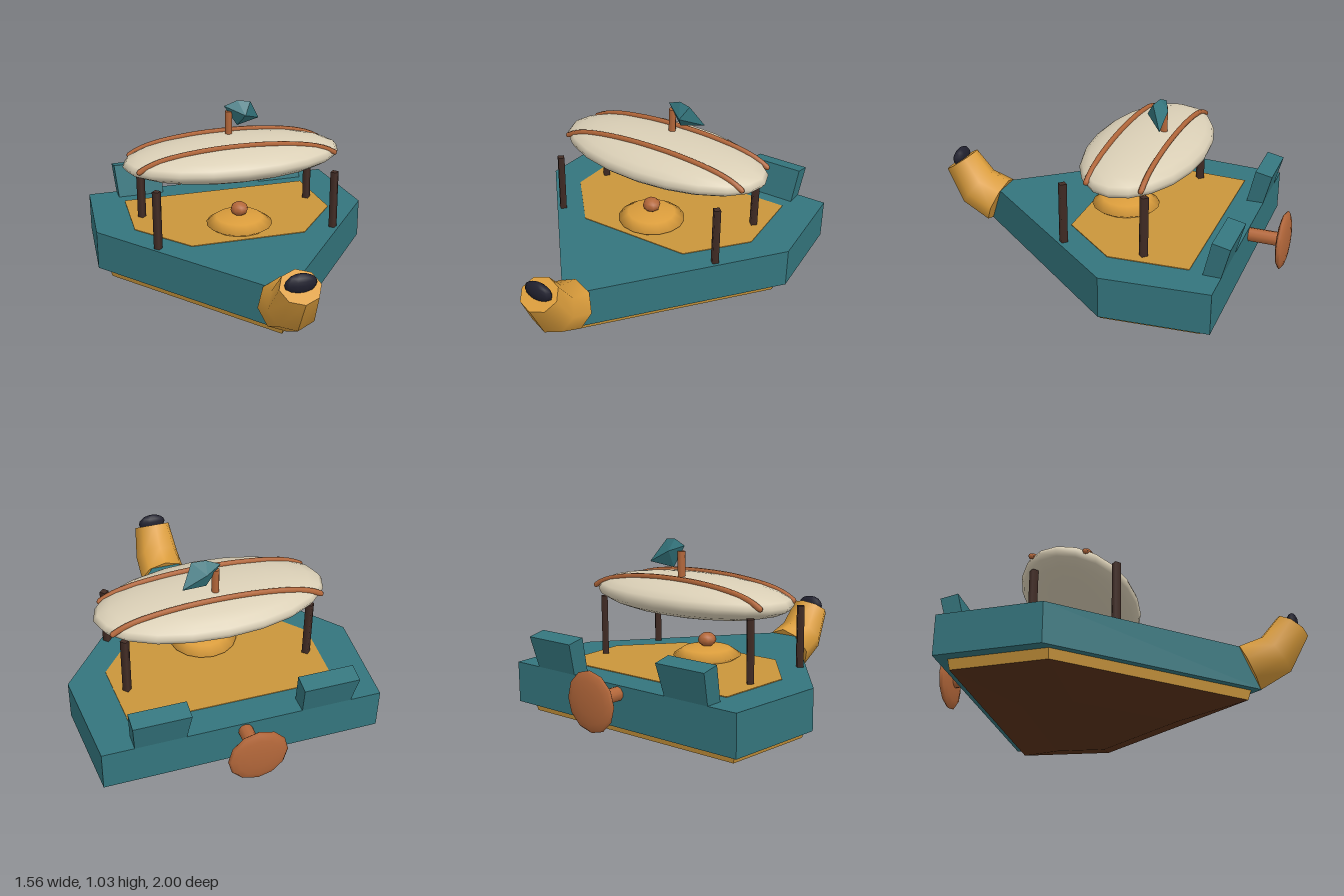
import * as THREE from 'three';
import { ConvexGeometry } from 'three/addons/geometries/ConvexGeometry.js';

const paint = (name, color) => {
  const m = new THREE.MeshStandardMaterial({ color });
  m.name = name;
  return m;
};

export function createModel() {
  const teal = paint('teal', 0x34757d);
  const ochre = paint('ochre', 0xc9953b);
  const gold = paint('gold', 0xdb9d3c);
  const copper = paint('copper', 0xb3673a);
  const brown = paint('hull brown', 0x5a321b);
  const darkWood = paint('dark wood', 0x432d26);
  const cream = paint('cream', 0xdacfb6);
  const ink = paint('ink', 0x20202e);

  const model = new THREE.Group();
  model.name = 'airship';
  const add = (name, geometry, material, x = 0, y = 0, z = 0) => {
    const mesh = new THREE.Mesh(geometry, material);
    mesh.name = name;
    mesh.position.set(x, y, z);
    model.add(mesh);
    return mesh;
  };
  const ellipsoid = (rx, ry, rz, w, h) => new THREE.SphereGeometry(1, w, h).scale(rx, ry, rz);

  // Slab with an [x, z] outline; each end is given as [y, scale, z shift]
  const slab = (outline, bottom, top) => {
    const shape = new THREE.Shape(outline.map(([x, z]) => new THREE.Vector2(x, -z)));
    const g = new THREE.ExtrudeGeometry(shape, { depth: 1, bevelEnabled: false });
    g.rotateX(-Math.PI / 2);
    const p = g.attributes.position;
    for (let i = 0; i < p.count; i++) {
      const [y, s, shift] = p.getY(i) > 0.5 ? top : bottom;
      p.setXYZ(i, p.getX(i) * s, y, p.getZ(i) * s + shift);
    }
    g.computeVertexNormals();
    return g;
  };

  // Hull, trim, keel and deck
  const outline = [[-0.735, -0.785], [-0.78, -0.23], [0, 0.74], [0.78, -0.23], [0.735, -0.785]];
  add('hull', slab(outline, [0.145, 1, 0], [0.363, 1, 0]), teal);
  add('hullTrim', slab(outline, [0.092, 0.908, -0.005], [0.145, 0.925, 0]), ochre);
  add('keel', slab(outline, [0, 0.48, -0.06], [0.092, 0.908, -0.005]), brown);
  const deckOutline = [[-0.55, -0.62], [-0.572, -0.2], [-0.32, 0.1], [0.32, 0.1], [0.572, -0.2], [0.55, -0.62]];
  add('deck', slab(deckOutline, [0.36, 1, 0], [0.367, 1, 0]), ochre);

  // Domed hatch with its knob
  add('hatch', ellipsoid(0.185, 0.052, 0.185, 16, 4), gold, 0, 0.386, -0.09);
  add('hatchKnob', ellipsoid(0.05, 0.04, 0.05, 8, 6), copper, 0, 0.467, -0.09);

  // Bent prow horn: each ring is [y, z, half width, up-vector y, up-vector z]
  const rings = [
    [0.27, 0.68, 0.135, 0.126, -0.055],
    [0.333, 0.82, 0.13, 0.098, -0.076],
    [0.485, 0.917, 0.106, 0.055, -0.081],
  ];
  const horn = new THREE.CylinderGeometry(1, 1, 2, 8, 2);
  const hp = horn.attributes.position;
  for (let i = 0; i < hp.count; i++) {
    const [y, z, w, uy, uz] = rings[Math.round(hp.getY(i)) + 1];
    const k = -hp.getZ(i);
    hp.setXYZ(i, hp.getX(i) * w, y + uy * k, z + uz * k);
  }
  horn.computeVertexNormals();
  add('prowHorn', horn, gold);
  add('hornMouth', ellipsoid(0.082, 0.052, 0.032, 10, 8), ink, 0, 0.505, 0.92);

  // Balloon with two ribs
  add('balloon', ellipsoid(0.62, 0.108, 0.31, 20, 12), cream, 0, 0.735, -0.22);
  const half = [[0.555, 0.745], [0.5, 0.774], [0.4, 0.803], [0.2, 0.829]];
  for (const z of [-0.083, -0.367]) {
    const points = [
      ...half.map(([x, y]) => new THREE.Vector3(-x, y, z)),
      new THREE.Vector3(0, 0.836, z),
      ...half.map(([x, y]) => new THREE.Vector3(x, y, z)).reverse(),
    ];
    const curve = new THREE.CatmullRomCurve3(points);
    add('balloonRib', new THREE.TubeGeometry(curve, 28, 0.015, 6), copper);
    for (const t of [0, 1]) {
      const p = curve.getPoint(t);
      add('ribEnd', new THREE.SphereGeometry(0.015, 6, 4), copper, p.x, p.y, p.z);
    }
  }

  // Balloon posts and stern fins, mirrored
  for (const side of [-1, 1]) {
    for (const z of [0.068, -0.365]) {
      add('post', new THREE.CylinderGeometry(0.024, 0.024, 0.33, 4), darkWood, side * 0.497, 0.525, z);
    }
    const fin = new THREE.BoxGeometry(1, 1, 1);
    const p = fin.attributes.position;
    for (let i = 0; i < p.count; i++) {
      const top = p.getY(i) > 0;
      const front = p.getZ(i) > 0;
      const y = top ? (front ? 0.55 : 0.53) : 0.355;
      const z = top ? (front ? -0.735 : -0.828) : (front ? -0.69 : -0.783);
      p.setXYZ(i, p.getX(i) * (top ? 0.295 : 0.264), y, z);
    }
    fin.computeVertexNormals();
    add('sternFin', fin, teal, side * 0.437);
  }

  // Mast with a faceted pennant
  add('mast', new THREE.CylinderGeometry(0.02, 0.02, 0.16, 8), copper, 0, 0.89, -0.297);
  const pennant = new ConvexGeometry([
    [-0.025, 1.0, -0.3], [0.05, 1.03, -0.29], [0.12, 1.022, -0.275], [0.185, 0.905, -0.333],
    [0.05, 0.883, -0.3], [0.08, 0.955, -0.233], [0.055, 0.97, -0.335],
  ].map((v) => new THREE.Vector3(...v)));
  add('pennant', pennant, teal);

  // Stern shaft and propeller disc
  add('propellerShaft', new THREE.CylinderGeometry(0.037, 0.037, 0.2, 10).rotateX(Math.PI / 2), copper, 0, 0.32, -0.865);
  add('propellerDisc', ellipsoid(0.155, 0.03, 0.155, 12, 8).rotateX(Math.PI / 2), copper, 0, 0.32, -0.968);

  return model;
}
